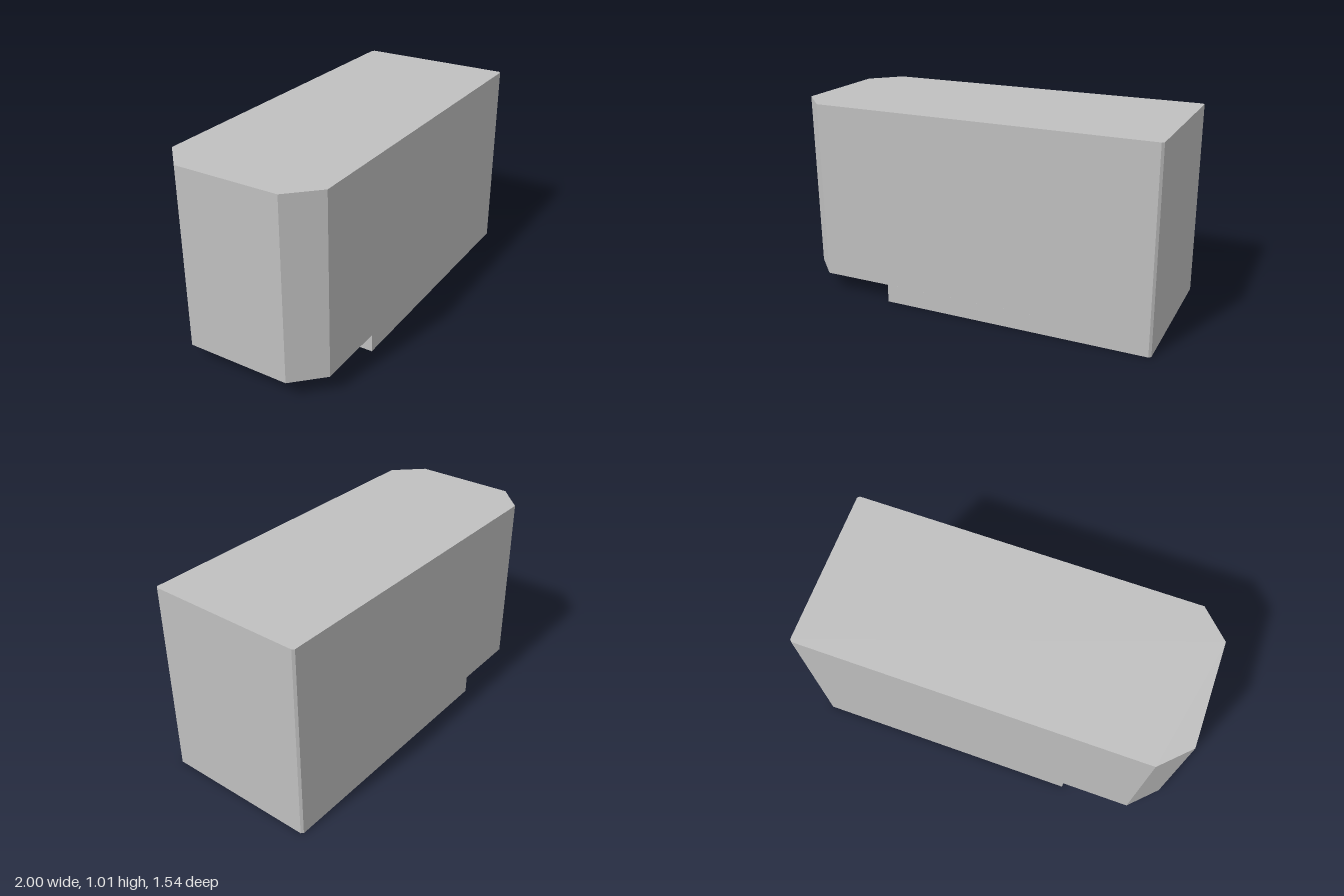
import * as THREE from 'three';

// Extrudes a plan outline of [x, z] points upward from y0 to y1
function prism(name, outline, y0, y1, material) {
  const shape = new THREE.Shape(outline.map(([x, z]) => new THREE.Vector2(x, -z)));
  const geometry = new THREE.ExtrudeGeometry(shape, { depth: y1 - y0, bevelEnabled: false });
  geometry.rotateX(-Math.PI / 2).translate(0, y0, 0);
  const mesh = new THREE.Mesh(geometry, material);
  mesh.name = name;
  return mesh;
}

export function createModel() {
  const group = new THREE.Group();
  group.name = 'chamferedBlock';
  const grey = new THREE.MeshStandardMaterial({ color: 0xc0c0c0 });
  grey.name = 'plain grey';

  const stepY = 0.095, topY = 1.015;

  // Square end, with its two corners slightly cut
  const squareEnd = [[0.61, -0.773], [0.624, -0.768], [1, -0.064], [0.995, -0.049]];
  // Far end with large chamfers
  const chamferedEnd = [[-0.56, 0.77], [-0.75, 0.71], [-1, 0.235], [-0.94, 0.045]];
  // Straight edge where the base stops short of the body
  const baseEnd = [[-0.235, 0.599], [-0.62, -0.123]];

  group.add(prism('body', [...squareEnd, ...chamferedEnd], stepY, topY, grey));
  group.add(prism('base', [...squareEnd, ...baseEnd], 0, stepY, grey));
  return group;
}
